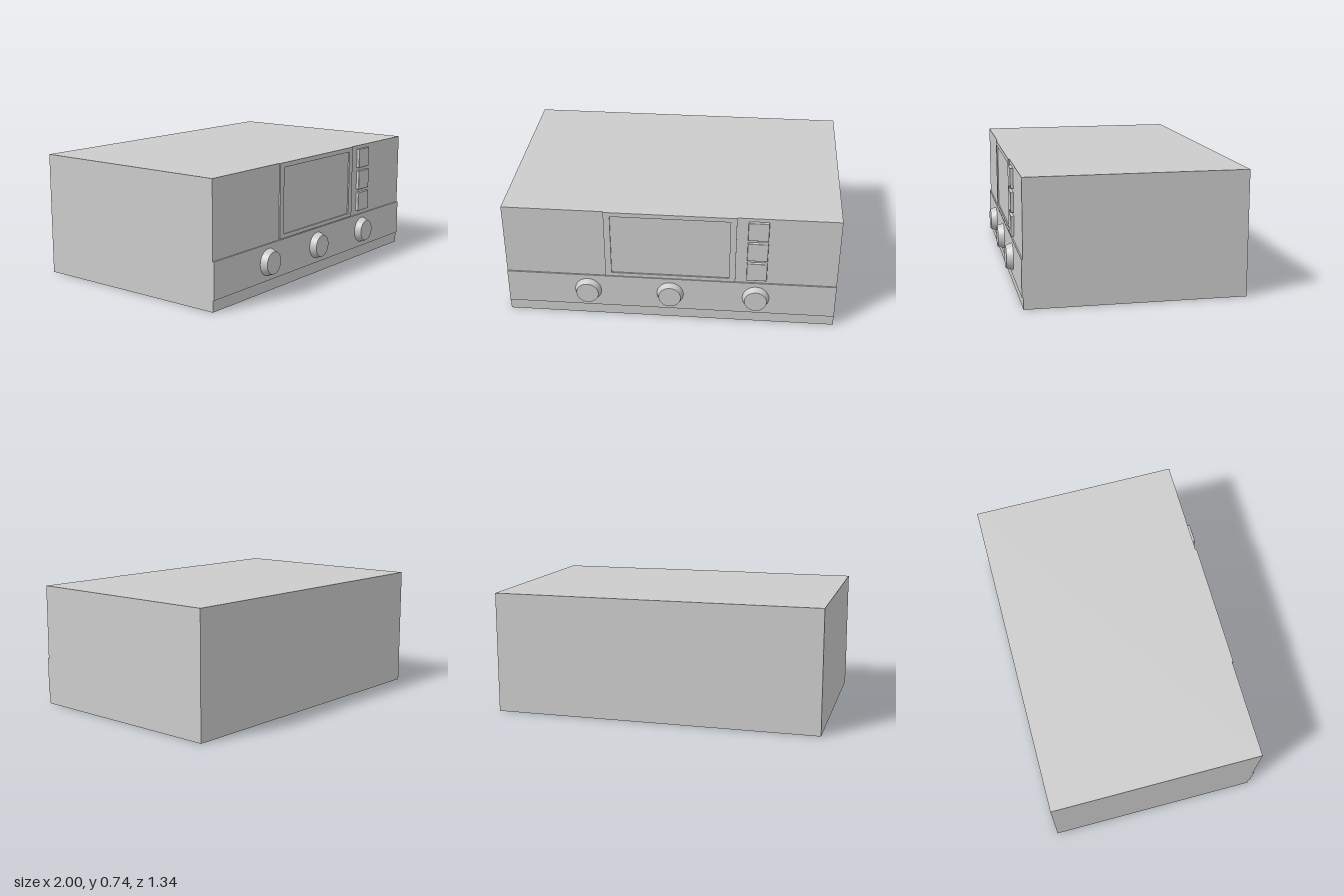
import * as THREE from 'three';
import { RoundedBoxGeometry } from 'three/addons/geometries/RoundedBoxGeometry.js';

const FACE = 0.621;   // z of the main front face
const PANEL = 0.629;  // z of the raised front panels

export function createModel() {
  const group = new THREE.Group();
  const material = new THREE.MeshStandardMaterial({ color: 0xcccccc });

  const add = (name, geometry, x, y, z) => {
    const mesh = new THREE.Mesh(geometry, material);
    mesh.name = name;
    mesh.position.set(x, y, z);
    group.add(mesh);
    return mesh;
  };

  // Box given by its limits
  const addBox = (name, x0, x1, y0, y1, z0, z1) =>
    add(name, new THREE.BoxGeometry(x1 - x0, y1 - y0, z1 - z0),
      (x0 + x1) / 2, (y0 + y1) / 2, (z0 + z1) / 2);

  // Housing and the raised strip carrying the knobs
  addBox('housing', -1, 1, 0, 0.743, -0.669, FACE);
  addBox('knobStrip', -1, 1, 0.068, 0.287, FACE - 0.01, PANEL);

  // Screen frame: a raised plate with a rectangular opening
  const frame = new THREE.Shape([
    new THREE.Vector2(-0.393, 0.291), new THREE.Vector2(0.393, 0.291),
    new THREE.Vector2(0.393, 0.743), new THREE.Vector2(-0.393, 0.743),
  ]);
  frame.holes.push(new THREE.Path([
    new THREE.Vector2(-0.355, 0.315), new THREE.Vector2(-0.355, 0.715),
    new THREE.Vector2(0.355, 0.715), new THREE.Vector2(0.355, 0.315),
  ]));
  add('screenFrame', new THREE.ExtrudeGeometry(frame,
    { depth: PANEL - FACE, bevelEnabled: false }), 0, 0, FACE);

  // Column of square push buttons
  for (const y of [0.375, 0.517, 0.66]) {
    add('button', new RoundedBoxGeometry(0.122, 0.122, 0.036, 2, 0.004), 0.52, y, 0.622);
  }

  // Tapered knobs
  for (const x of [-0.503, 0, 0.52]) {
    const knob = add('knob', new THREE.CylinderGeometry(0.067, 0.081, 0.04, 48), x, 0.179, 0.649);
    knob.rotation.x = Math.PI / 2;
  }

  return group;
}
